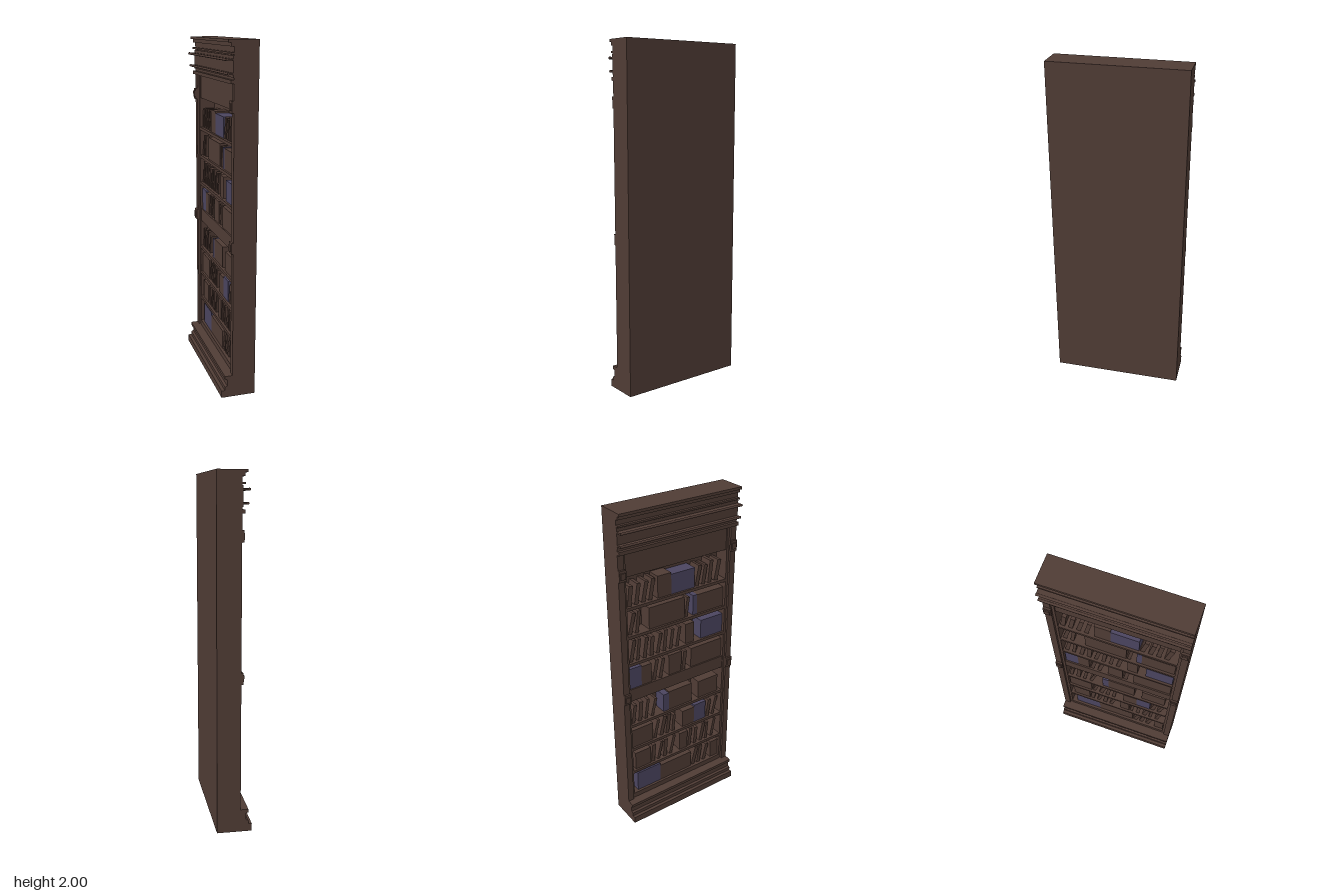
import * as THREE from 'three';

const wood = new THREE.MeshStandardMaterial({ color: 0x503c35 });
wood.name = 'brown wood';
const blue = new THREE.MeshStandardMaterial({ color: 0x4b4560 });
blue.name = 'dusky blue cover';

const HALF = 0.388;   // half the cabinet width, along z
const INNER = 0.335;  // half the opening
const BACK = 0.07;    // front of the back panel

// Solid runs of books on each shelf, top to bottom: start, end, and the cover if not wood
const ROWS = [
  [[-0.13, -0.04], [-0.04, 0.12, blue]],
  [[-0.19, 0.05], [0.11, 0.14, blue], [0.14, 0.33]],
  [[0.06, 0.12], [0.17, 0.33, blue]],
  [[-0.33, -0.25, blue], [-0.25, -0.18], [-0.06, 0.03], [0.1, 0.33]],
  [[-0.1, -0.06, blue], [-0.06, 0.11], [0.16, 0.31]],
  [[-0.33, -0.18], [0.04, 0.13], [0.13, 0.22, blue]],
  [[-0.31, -0.2], [0.02, 0.08]],
  [[-0.3, -0.13, blue], [-0.13, 0.11], [0.27, 0.33]],
];

// Repeatable random numbers from 0 to 1
let seed = 7;
function rand() {
  seed = (seed * 16807) % 2147483647;
  return seed / 2147483647;
}

// Box from its limits along x, y and z
function box(parent, name, x0, x1, y0, y1, z0, z1, mat = wood) {
  const mesh = new THREE.Mesh(new THREE.BoxGeometry(x1 - x0, y1 - y0, z1 - z0), mat);
  mesh.position.set((x0 + x1) / 2, (y0 + y1) / 2, (z0 + z1) / 2);
  mesh.name = name;
  parent.add(mesh);
  return mesh;
}

// Profile in x and y, drawn out over the full width
function moulding(parent, name, points) {
  const shape = new THREE.Shape(points.map(([x, y]) => new THREE.Vector2(x, y)));
  const geo = new THREE.ExtrudeGeometry(shape, { depth: 2 * HALF, bevelEnabled: false });
  geo.translate(0, 0, -HALF);
  const mesh = new THREE.Mesh(geo, wood);
  mesh.name = name;
  parent.add(mesh);
}

// Thin tilted books filling the space from z0 to z1
function leaningBooks(parent, floor, z0, z1) {
  for (let z = z0 + 0.005; z < z1 - 0.05; z += 0.045) {
    const height = 0.115 + 0.02 * rand();
    const width = 0.018 + 0.008 * rand();
    const tilt = 0.08 + 0.17 * rand();
    const book = box(parent, 'leaningBook', -0.008, BACK, 0, height, 0, width);
    book.rotation.x = tilt;
    book.position.y = floor + (height * Math.cos(tilt) + width * Math.sin(tilt)) / 2;
    book.position.z = z + (width * Math.cos(tilt) + height * Math.sin(tilt)) / 2;
  }
}

// One shelf of books: solid runs, with leaning books in the gaps
function bookRow(runs, floor) {
  const row = new THREE.Group();
  row.name = 'bookRow';
  let end = -0.33;
  for (const [z0, z1, cover] of runs) {
    leaningBooks(row, floor, end, z0);
    box(row, 'bookRun', -0.01, BACK, floor, floor + 0.115 + 0.02 * rand(), z0, z1, cover);
    end = z1;
  }
  leaningBooks(row, floor, end, 0.33);
  return row;
}

export function createModel() {
  const model = new THREE.Group();
  model.name = 'bookcase';

  // Carcass
  box(model, 'backPanel', BACK, 0.1, 0, 2, -HALF, HALF);
  for (const s of [-1, 1]) {
    const span = (a, b) => (s > 0 ? [a, b] : [-b, -a]);
    box(model, 'sidePost', -0.035, BACK, 0.1, 1.99, ...span(0.35, HALF));
    box(model, 'innerPost', -0.022, BACK, 0.1, 1.97, ...span(INNER, 0.35));
    // Small stepped blocks on the posts
    for (const y of [0.895, 1.66]) {
      box(model, 'postBlock', -0.046, -0.035, y - 0.032, y + 0.032, ...span(0.345, HALF));
      box(model, 'postBlockFace', -0.052, -0.046, y - 0.018, y + 0.018, ...span(0.352, HALF - 0.006));
    }
  }

  // Stepped plinth
  moulding(model, 'plinth', [[BACK, 0], [-0.1, 0], [-0.1, 0.043], [-0.08, 0.043], [-0.08, 0.065],
    [-0.066, 0.07], [-0.066, 0.11], [-0.08, 0.113], [-0.08, 0.132], [BACK, 0.132]]);

  // Cornice and slender ledges above the shelves
  moulding(model, 'cornice', [[BACK, 1.78], [-0.035, 1.78], [-0.035, 1.965], [-0.05, 1.965],
    [-0.05, 1.985], [-0.065, 1.985], [-0.065, 2], [BACK, 2]]);
  box(model, 'friezeBoard', -0.04, -0.035, 1.81, 1.92, -HALF, HALF);
  box(model, 'upperFillet', -0.052, -0.035, 1.926, 1.936, -HALF, HALF);
  box(model, 'lowerFillet', -0.052, -0.035, 1.778, 1.798, -HALF, HALF);
  for (const [y, front] of [[1.9, -0.08], [1.829, -0.072]]) {
    box(model, 'ledge', front + 0.007, -0.035, y - 0.004, y + 0.004, -HALF, HALF);
    const bead = new THREE.Mesh(new THREE.CylinderGeometry(0.007, 0.007, 2 * HALF, 8), wood);
    bead.rotation.x = Math.PI / 2;
    bead.position.set(front + 0.007, y, 0);
    bead.name = 'ledgeBead';
    model.add(bead);
  }

  // Recessed rails between the posts
  box(model, 'topRail', -0.015, BACK, 1.635, 1.78, -INNER, INNER);
  box(model, 'middleRail', -0.018, BACK, 0.855, 0.935, -INNER, INNER);
  box(model, 'bottomRail', -0.025, BACK, 0.13, 0.165, -INNER, INNER);

  // Four shelves of books above the middle rail and four below
  ROWS.forEach((runs, i) => {
    const floor = (i < 4 ? 0.935 : 0.165) + 0.174 * (3 - (i % 4));
    if (i % 4 !== 3) box(model, 'shelf', -0.022, BACK, floor - 0.018, floor, -INNER, INNER);
    model.add(bookRow(runs, floor));
  });
  return model;
}
